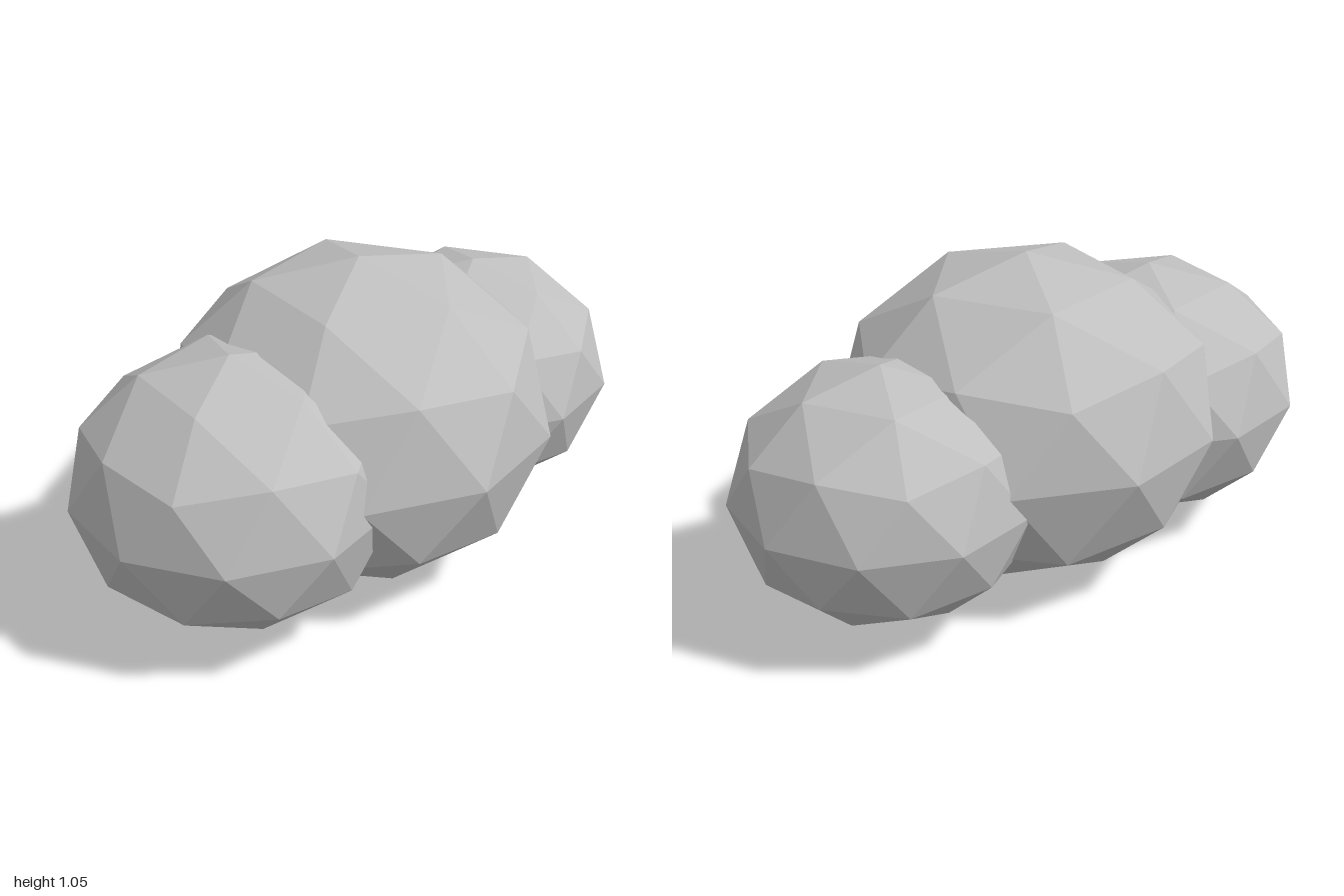
import * as THREE from 'three';

const SQUASH = 0.85; // every puff is flattened vertically

// Low-poly ball with a corner at each pole and its upper ring pointing to +x
function puffGeometry(radius) {
  const geometry = new THREE.IcosahedronGeometry(radius, 1);
  geometry.rotateZ(Math.atan(2 / (1 + Math.sqrt(5))));
  geometry.rotateY(Math.PI);
  geometry.scale(1, SQUASH, 1);
  geometry.computeVertexNormals();
  return geometry;
}

export function createModel() {
  const group = new THREE.Group();
  group.name = 'cloud';

  const cloudGrey = new THREE.MeshStandardMaterial({ color: 0xbfbfbf, flatShading: true });
  cloudGrey.name = 'cloudGrey';

  // Three overlapping puffs: name, radius, centre
  const puffs = [
    ['middlePuff', 0.62, [-0.013, 0.527, 0]],
    ['leftPuff', 0.472, [0.55, 0.45, -0.114]],
    ['rightPuff', 0.505, [-0.52, 0.473, 0.054]],
  ];
  for (const [name, radius, centre] of puffs) {
    const puff = new THREE.Mesh(puffGeometry(radius), cloudGrey);
    puff.name = name;
    puff.position.set(...centre);
    group.add(puff);
  }
  return group;
}
